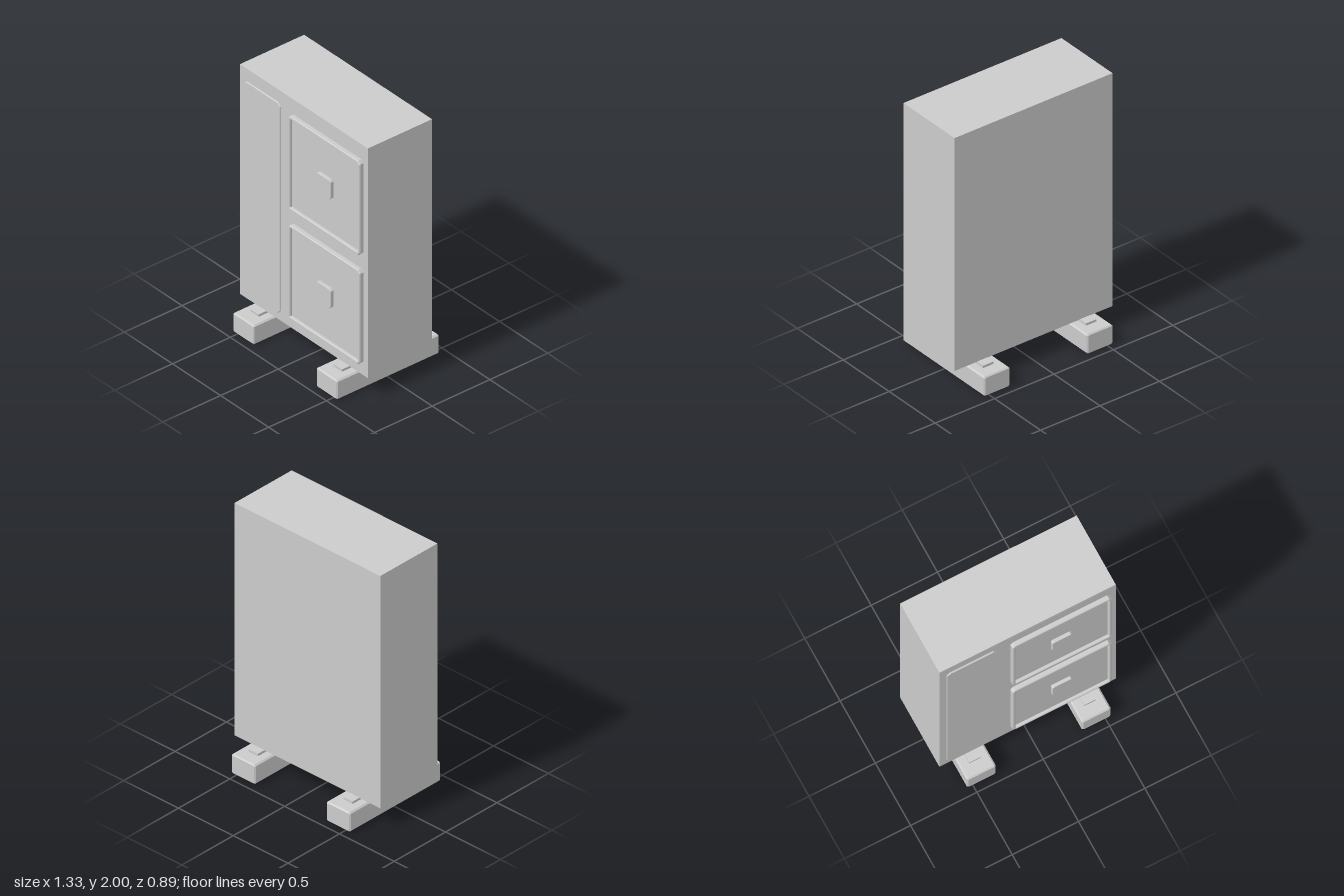
import * as THREE from 'three';

const grey = new THREE.MeshStandardMaterial({ color: 0xcccccc, flatShading: true });

// Rectangle centred on the origin with cut corners
function cutRect(w, h, c, Type = THREE.Shape) {
  const x = w / 2, y = h / 2;
  return new Type([
    [-x + c, -y], [x - c, -y], [x, -y + c], [x, y - c],
    [x - c, y], [-x + c, y], [-x, y - c], [-x, -y + c],
  ].map(([a, b]) => new THREE.Vector2(a, b)));
}

function add(parent, name, geometry, x, y, z) {
  const mesh = new THREE.Mesh(geometry, grey);
  mesh.name = name;
  mesh.position.set(x, y, z);
  parent.add(mesh);
  return mesh;
}

// Flat plate rising from z = 0, with cut corners and a bevelled front rim
function plate(w, h, depth, corner, bevel) {
  const geometry = new THREE.ExtrudeGeometry(cutRect(w - 2 * bevel, h - 2 * bevel, corner), {
    depth: depth - bevel, bevelThickness: bevel, bevelSize: bevel, bevelSegments: 1,
  });
  return geometry;
}

// Block centred on the origin with all edges chamfered
function chamferedBlock(w, h, d, c) {
  const geometry = new THREE.ExtrudeGeometry(cutRect(w - 2 * c, h - 2 * c, c * 0.6), {
    depth: d - 2 * c, bevelThickness: c, bevelSize: c, bevelSegments: 1,
  });
  return geometry.translate(0, 0, c - d / 2);
}

export function createModel() {
  const model = new THREE.Group();
  model.name = 'cabinet';
  const face = 0.278;

  // Main body
  add(model, 'body', new THREE.BoxGeometry(1.33, 1.83, face * 2), 0, 1.085, 0);

  // Tall narrow panel on the front
  add(model, 'tallPanel', plate(0.375, 1.675, 0.01, 0.022, 0.004), -0.424, 1.064, face);

  // Two square doors: raised frame, inset panel and square knob
  [['lowerDoor', 0.636], ['upperDoor', 1.505]].forEach(([name, y]) => {
    const door = new THREE.Group();
    door.name = name;
    door.position.set(0.245, y, face);
    model.add(door);

    const rim = cutRect(0.74, 0.74, 0.018);
    rim.holes.push(cutRect(0.715, 0.715, 0.006, THREE.Path));
    const frame = new THREE.ExtrudeGeometry(rim, {
      depth: 0.028, bevelThickness: 0.006, bevelSize: 0.005, bevelSegments: 1,
    });
    add(door, 'doorFrame', frame, 0, 0, 0);
    add(door, 'insetPanel', new THREE.BoxGeometry(0.715, 0.715, 0.012), 0, 0, 0.006);
    add(door, 'knob', plate(0.152, 0.152, 0.026, 0.011, 0.003), 0, 0, 0.011);
  });

  // Skid feet with a thin pad under the body
  for (const side of [-1, 1]) {
    const foot = new THREE.Group();
    foot.name = side > 0 ? 'leftFoot' : 'rightFoot';
    foot.position.x = side * 0.433;
    model.add(foot);
    add(foot, 'skid', chamferedBlock(0.218, 0.154, 0.886, 0.009), 0, 0.077, 0);
    add(foot, 'pad', new THREE.BoxGeometry(0.086, 0.024, 0.69), 0, 0.16, 0);
  }

  return model;
}
